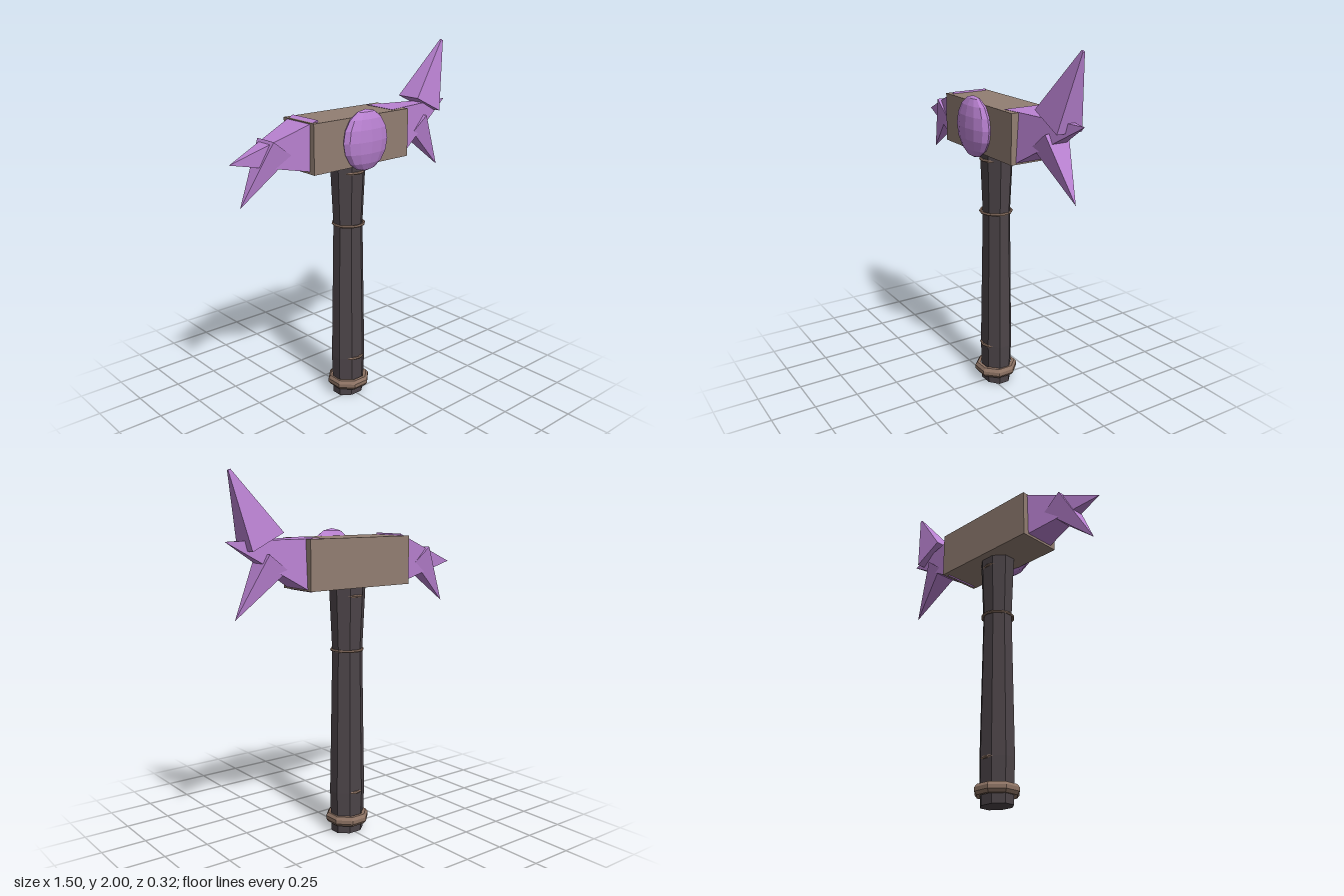
import * as THREE from 'three';

const Z = -0.04; // depth of the hammer's centre plane
const mat = (color, extra = {}) =>
  new THREE.MeshStandardMaterial({ color, flatShading: true, ...extra });

export function createModel() {
  const root = new THREE.Group();
  const stone = mat(0x927e72), grip = mat(0x4c4448), bronze = mat(0x8c7263), crystal = mat(0xba82d2);

  const add = (name, geometry, material, x = 0, y = 0, z = Z) => {
    const mesh = new THREE.Mesh(geometry, material);
    mesh.name = name;
    mesh.position.set(x, y, z);
    root.add(mesh);
    return mesh;
  };

  // Eight-sided lathe with flats facing front and sides; radii are to the flats
  const octagon = (points) => new THREE.LatheGeometry(
    points.map(([r, y]) => new THREE.Vector2(r / Math.cos(Math.PI / 8), y)), 8, Math.PI / 8);

  // Handle, slightly flattened front to back
  const handle = octagon([[0, 0], [0.09, 0], [0.097, 0.24], [0.083, 1.05], [0.099, 1.4], [0, 1.42]]);
  handle.scale(1, 1, 0.82);
  add('handle', handle, grip, 0, 0, -0.038);

  // Bevelled collar near the foot
  add('collar', octagon([[0.085, 0.05], [0.102, 0.05], [0.114, 0.067], [0.114, 0.088],
    [0.102, 0.105], [0.085, 0.105]]), bronze, 0, 0, -0.037);

  // Thin bands round the handle
  for (const [y, rx] of [[0.24, 0.083], [1.05, 0.094], [1.35, 0.085]]) {
    const band = new THREE.TorusGeometry(0.087, 0.008, 6, 12);
    band.rotateX(Math.PI / 2);
    band.scale(rx / 0.095, 1, 1);
    add('handleBand', band, bronze, 0, y, -0.035);
  }

  // Head block
  add('head', new THREE.BoxGeometry(0.66, 0.265, 0.25), stone, 0, 1.5325, Z);

  // Faceted oval gem on the front
  const gem = new THREE.SphereGeometry(1, 12, 8);
  gem.scale(0.152, 0.165, 0.054);
  add('gem', gem, crystal, 0, 1.54, 0.104);

  // Four-sided spike from a base centre to a tip in the centre plane
  const spike = (name, base, tip, halfWidth, halfDepth, blunt = 0) => {
    const dx = tip[0] - base[0], dy = tip[1] - base[1], length = Math.hypot(dx, dy);
    const g = new THREE.CylinderGeometry(blunt * Math.SQRT2, Math.SQRT2, 1, 4);
    g.rotateY(Math.PI / 4);
    g.translate(0, 0.5, 0);
    g.scale(halfWidth, length, halfDepth);
    add(name, g, crystal, base[0], base[1], Z).rotation.z = Math.atan2(-dx, dy);
  };
  spike('leftHorn', [0.268, 1.53], [0.748, 1.66], 0.142, 0.102);
  spike('rightHorn', [-0.276, 1.538], [-0.755, 1.5], 0.138, 0.104);
  spike('upperSpike', [0.545, 1.655], [0.714, 2.0], 0.101, 0.075, 0.07);
  for (const s of [1, -1])
    spike(s > 0 ? 'leftLowerSpike' : 'rightLowerSpike',
      [s * 0.483, 1.552], [s * 0.703, 1.27], 0.068, 0.07);

  return root;
}
